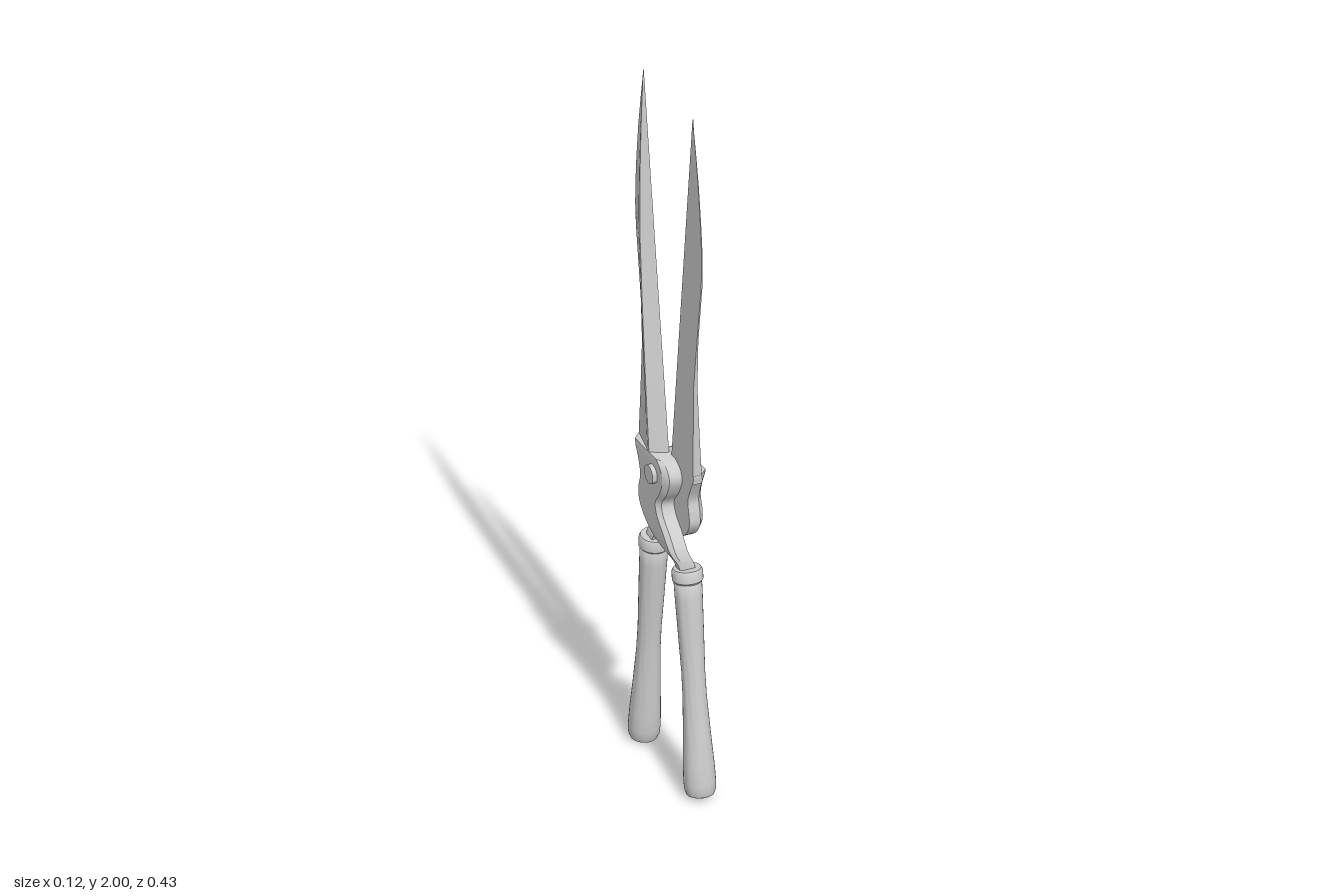
import * as THREE from 'three';
import { toCreasedNormals } from 'three/addons/utils/BufferGeometryUtils.js';

const steel = new THREE.MeshStandardMaterial({ color: 0xcccccc });

// Skin cross-sections from top to bottom.
// Row: [y, outer z, inner z, thickness, x of flat side, outer edge thickness fraction]
// q: inner edge thickness fraction; a, b: where the thick ridge lies between inner and outer.
function loft(rows, q, a, b, crease) {
  const pos = [], idx = [], n = 6;
  for (const [y, zo, zi, t, x0, s] of rows) {
    const w = zo - zi;
    for (const [z, x] of [[zo, 0], [zo, s], [zi + b * w, 1], [zi + a * w, 1], [zi, q], [zi, 0]])
      pos.push(x0 + x * t, y, z);
  }
  for (let i = 0; i < rows.length - 1; i++)
    for (let j = 0; j < n; j++) {
      const k = (j + 1) % n, A = i * n + j, B = i * n + k, C = B + n, D = A + n;
      idx.push(A, D, C, A, C, B);
    }
  const last = (rows.length - 1) * n;
  for (let j = 1; j < n - 1; j++) idx.push(0, j, j + 1, last, last + j + 1, last + j);
  const g = new THREE.BufferGeometry();
  g.setAttribute('position', new THREE.Float32BufferAttribute(pos, 3));
  g.setIndex(idx);
  return toCreasedNormals(g, crease);
}

// Resample rows along a smooth curve, column by column
function smoothRows(rows, count) {
  const cols = rows[0].map((_, k) => new THREE.SplineCurve(rows.map(r => new THREE.Vector2(r[k], 0))));
  return Array.from({ length: count + 1 }, (_, i) => cols.map(c => c.getPoint(i / count).x));
}

function named(name, geometry) {
  const m = new THREE.Mesh(geometry, steel);
  m.name = name;
  return m;
}

// One half: blade on +z, flat side at x = 0, handle on -z
function makeHalf() {
  const half = new THREE.Group();

  // Blade: straight cutting edge, curved back
  const inner = y => 0.147 - (2 - y) * 0.131;
  const blade = [
    [2.0, 0.149, 0.002], [1.91, 0.165, 0.009], [1.82, 0.179, 0.016], [1.72, 0.19, 0.023], [1.64, 0.196, 0.028],
    [1.58, 0.197, 0.031], [1.52, 0.193, 0.034], [1.35, 0.166, 0.04], [1.2, 0.144, 0.044],
    [1.05, 0.14, 0.046], [0.91, 0.138, 0.047],
  ].map(([y, zo, t], i) => [y, zo, inner(y), t, 0, i < 8 ? 0.1 : 0.1 + (i - 7) * 0.15]);
  half.add(named('blade', loft(blade, 0.12, 0.17, 0.24, 0.35)));

  // Neck: pivot plate narrowing into a bent shank
  const neck = [
    [0.935, 0.139, -0.03, 0.047, 0, 0.5],
    [0.918, 0.138, -0.06, 0.048, 0, 0.55],
    [0.888, 0.122, -0.071, 0.048, 0, 0.6],
    [0.845, 0.105, -0.052, 0.048, 0, 0.65],
    [0.805, 0.112, -0.022, 0.048, 0, 0.65],
    [0.77, 0.112, -0.033, 0.048, 0, 0.65],
    [0.735, 0.085, -0.07, 0.048, 0, 0.65],
    [0.705, 0.035, -0.095, 0.047, 0, 0.65],
    [0.685, -0.02, -0.104, 0.046, -0.004, 0.7],
    [0.66, -0.068, -0.11, 0.043, -0.015, 0.75],
    [0.63, -0.08, -0.112, 0.042, -0.02, 0.75],
  ];
  half.add(named('neck', loft(smoothRows(neck, 40), 0.75, 0.1, 0.85, 0.5)));

  // Handle with turned profile and collar
  const grip = [[0, 0], [0.026, 0], [0.036, 0.005], [0.041, 0.018], [0.0425, 0.04], [0.041, 0.09], [0.036, 0.18],
    [0.0315, 0.28], [0.031, 0.35], [0.034, 0.46], [0.0365, 0.56], [0.037, 0.6], [0.034, 0.606], [0, 0.606]];
  const collar = [[0, 0.604], [0.036, 0.604], [0.041, 0.61], [0.041, 0.634], [0.037, 0.642], [0, 0.642]];
  const turned = pts => toCreasedNormals(
    new THREE.LatheGeometry(pts.map(([r, h]) => new THREE.Vector2(r, h)), 28), 0.6);
  const handle = new THREE.Group();
  handle.name = 'handle';
  handle.add(named('grip', turned(grip)), named('collar', turned(collar)));
  handle.position.set(0, 0.008, -0.172);
  handle.rotation.x = 0.116;
  half.add(handle);
  return half;
}

export function createModel() {
  const shears = new THREE.Group();
  shears.name = 'shears';
  const body = new THREE.Group();
  body.name = 'openShears';

  // Two identical halves, turned half round about the vertical axis
  ['leftHalf', 'rightHalf'].forEach((name, i) => {
    const half = makeHalf();
    half.name = name;
    half.rotation.y = i * Math.PI;
    body.add(half);
  });

  // Pivot bolt through both plates
  const bolt = named('pivotBolt', toCreasedNormals(new THREE.CylinderGeometry(0.026, 0.026, 0.122, 24), 0.6));
  bolt.rotation.z = Math.PI / 2;
  bolt.position.set(0, 0.885, -0.004);
  body.add(bolt);

  // Slight lean of the whole tool
  body.rotation.x = -0.012;
  body.position.z = 0.004;
  shears.add(body);
  return shears;
}
